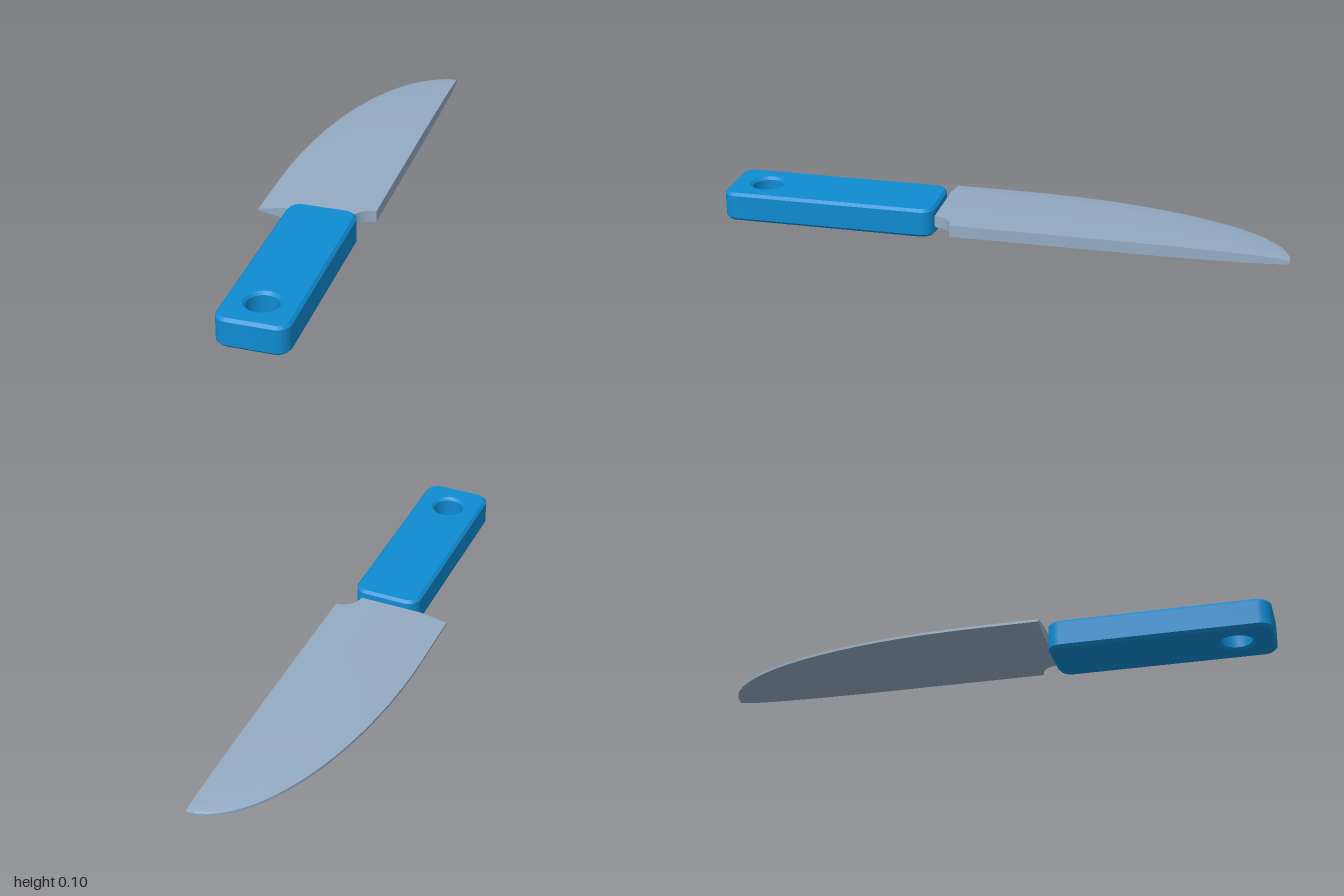
import * as THREE from 'three';
import { toCreasedNormals } from 'three/addons/utils/BufferGeometryUtils.js';

const HEEL_Z = 0.23;   // where blade and handle meet
const SPINE_X = 0.2;
const MID_Y = 0.052;

// Handle: rounded bar with chamfered rims and a hanging hole
function handleGeometry() {
  const x0 = -0.083, x1 = 0.163, z0 = HEEL_Z, z1 = 1, r = 0.048, bevel = 0.01, height = 0.104;
  const s = new THREE.Shape();
  s.absarc(x1 - r, z0 + r, r, -Math.PI / 2, 0);
  s.absarc(x1 - r, z1 - r, r, 0, Math.PI / 2);
  s.absarc(x0 + r, z1 - r, r, Math.PI / 2, Math.PI);
  s.absarc(x0 + r, z0 + r, r, Math.PI, Math.PI * 1.5);
  const hole = new THREE.Path();
  hole.absarc(0.04, 0.87, 0.054, 0, Math.PI * 2, true);
  s.holes.push(hole);
  const g = new THREE.ExtrudeGeometry(s, {
    depth: height - 2 * bevel, curveSegments: 12,
    bevelThickness: bevel, bevelSize: bevel, bevelOffset: -bevel, bevelSegments: 1,
  });
  g.rotateX(Math.PI / 2).translate(0, height - bevel, 0);
  return toCreasedNormals(g, 0.6);
}

// Blade: six-point cross-sections lofted from heel to tip
function bladeGeometry() {
  const stations = [];
  const notch = 0.07;
  // concave notch at the heel end of the spine
  for (let i = 0; i <= 6; i++) {
    const a = (i / 6) * Math.PI / 2;
    stations.push({ z: HEEL_Z - notch * Math.sin(a), spine: SPINE_X - notch * Math.cos(a), w: 1 });
  }
  // elliptical cutting edge
  for (let i = 0; i <= 18; i++) {
    const a = (i / 18) * Math.PI / 2;
    stations.push({ z: -Math.sin(a), spine: SPINE_X, w: i === 18 ? 0 : Math.cos(a) });
  }
  const pos = [], idx = [], thin = 0.0045;
  for (const { z, spine, w } of stations) {
    const u = Math.min(1, Math.max(0, (-z - 0.4) / 0.6));
    const half = thin + 0.0165 * Math.sqrt(1 - u * u);
    const edge = SPINE_X - 0.4 * w, ridge = SPINE_X - 0.3 * w;
    for (const [x, h] of [[edge, thin], [ridge, half], [spine, half],
      [spine, -half], [ridge, -half], [edge, -thin]]) pos.push(x, MID_Y + h, z);
  }
  for (let i = 0; i < stations.length - 1; i++) {
    for (let j = 0; j < 6; j++) {
      const a = i * 6 + j, b = i * 6 + (j + 1) % 6;
      idx.push(a, b, b + 6, a, b + 6, a + 6);
    }
  }
  // heel cap
  for (let j = 5; j > 1; j--) idx.push(0, j, j - 1);
  const g = new THREE.BufferGeometry();
  g.setAttribute('position', new THREE.Float32BufferAttribute(pos, 3));
  g.setIndex(idx);
  return toCreasedNormals(g, 0.4);
}

export function createModel() {
  const steel = new THREE.MeshStandardMaterial({ color: 0x94abc3 });
  steel.name = 'steel';
  const bluePlastic = new THREE.MeshStandardMaterial({ color: 0x0e8cd2 });
  bluePlastic.name = 'bluePlastic';

  const group = new THREE.Group();
  group.name = 'kitchenKnife';
  const handle = new THREE.Mesh(handleGeometry(), bluePlastic);
  handle.name = 'handle';
  const blade = new THREE.Mesh(bladeGeometry(), steel);
  blade.name = 'blade';
  group.add(handle, blade);
  return group;
}
